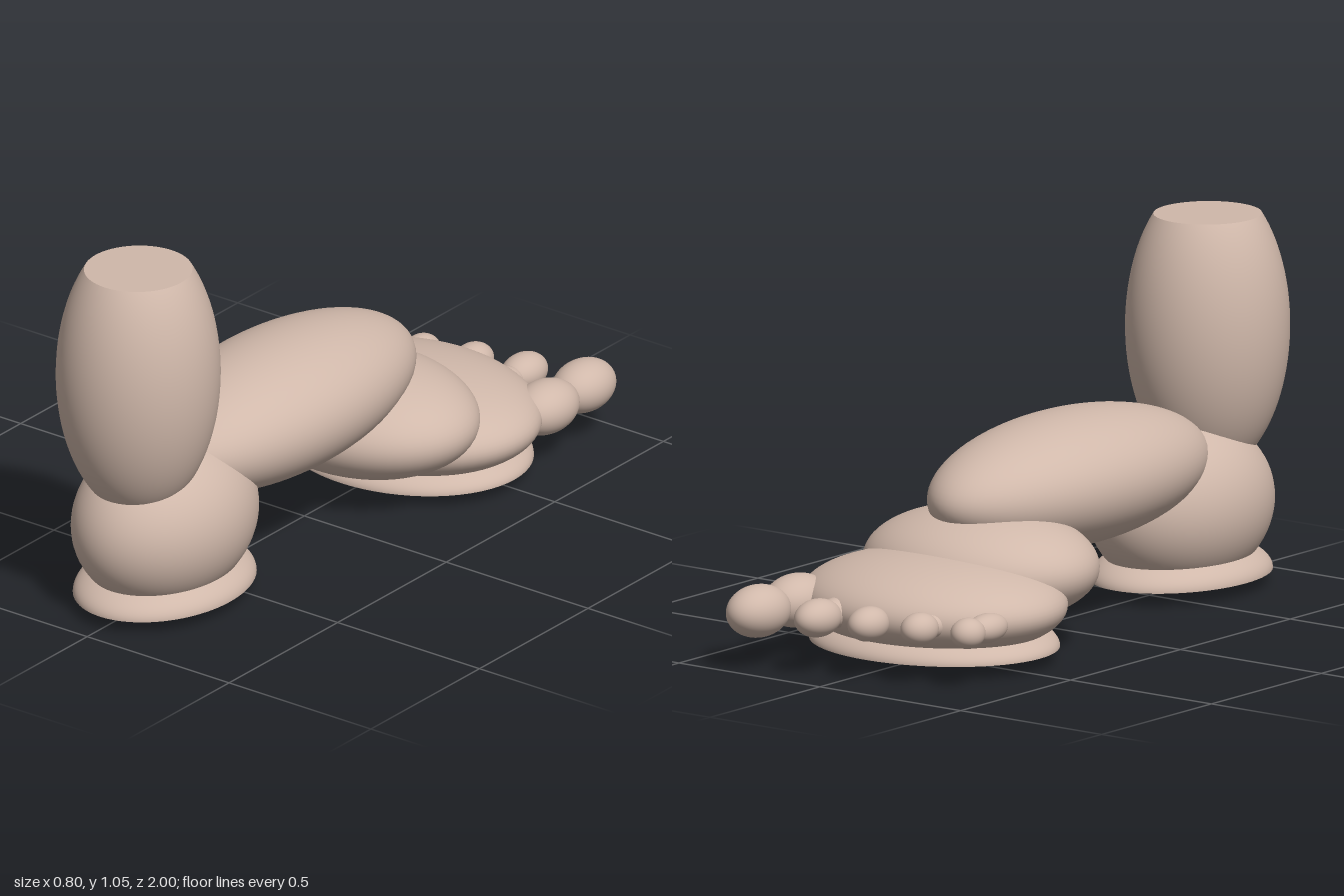
import * as THREE from 'three';
import { mergeGeometries } from 'three/addons/utils/BufferGeometryUtils.js';

const skin = new THREE.MeshStandardMaterial({ color: 0xd0b8aa });
skin.name = 'skin';

// Ellipsoid, optionally cut flat: top / bottom are cut heights in the range -1 to 1 of its half height
function ellipsoid(name, [x, y, z], [rx, ry, rz], { top = 1, bottom = -1 } = {}) {
  const start = Math.acos(top);
  const parts = [new THREE.SphereGeometry(1, 64, 40, 0, Math.PI * 2, start, Math.acos(bottom) - start)];
  const addCap = (h, turn) => {
    const cap = new THREE.CircleGeometry(Math.sqrt(1 - h * h), 64);
    cap.rotateX(turn).translate(0, h, 0);
    parts.push(cap);
  };
  if (top < 1) addCap(top, -Math.PI / 2);
  if (bottom > -1) addCap(bottom, Math.PI / 2);
  const geometry = mergeGeometries(parts);
  geometry.scale(rx, ry, rz);
  const mesh = new THREE.Mesh(geometry, skin);
  mesh.name = name;
  mesh.position.set(x, y, z);
  return mesh;
}

export function createModel() {
  const model = new THREE.Group();
  model.name = 'foot';

  // Lower leg with a flat top, and the heel under it
  model.add(
    ellipsoid('lowerLeg', [0, 0.69, 0.765], [0.229, 0.425, 0.235], { top: 0.753 }),
    ellipsoid('heel', [0, 0.205, 0.642], [0.235, 0.245, 0.307]),
    ellipsoid('heelPad', [0, 0, 0.643], [0.23, 0.1, 0.299], { bottom: 0 })
  );

  // Arch, midfoot and ball of the foot
  model.add(
    ellipsoid('arch', [0, 0.365, 0.13], [0.256, 0.19, 0.553]),
    ellipsoid('midfoot', [0, 0.19, -0.265], [0.356, 0.16, 0.288]),
    ellipsoid('ball', [0, 0.12, -0.48], [0.4, 0.138, 0.33]),
    ellipsoid('ballPad', [0, 0, -0.478], [0.374, 0.1, 0.312], { bottom: 0 })
  );

  // Toes: x, tip centre z, tip half width, tip half length, base centre z, base half width, base half length
  const toes = [
    ['bigToe', 0.302, -0.892, 0.08, 0.108, -0.715, 0.084, 0.115],
    ['secondToe', 0.115, -0.862, 0.058, 0.08, -0.77, 0.048, 0.07],
    ['thirdToe', -0.045, -0.836, 0.053, 0.068, -0.77, 0.042, 0.06],
    ['fourthToe', -0.198, -0.8, 0.05, 0.06, -0.73, 0.04, 0.06],
    ['littleToe', -0.34, -0.762, 0.047, 0.053, -0.675, 0.046, 0.075],
  ];
  for (const [name, x, tipZ, tipW, tipL, baseZ, baseW, baseL] of toes) {
    const toe = new THREE.Group();
    toe.name = name;
    toe.add(
      ellipsoid('toeTip', [x, 0.118, tipZ], [tipW, tipW * 0.93, tipL]),
      ellipsoid('toeBase', [x, 0.118, baseZ], [baseW, baseW * 0.9, baseL])
    );
    model.add(toe);
  }
  return model;
}
